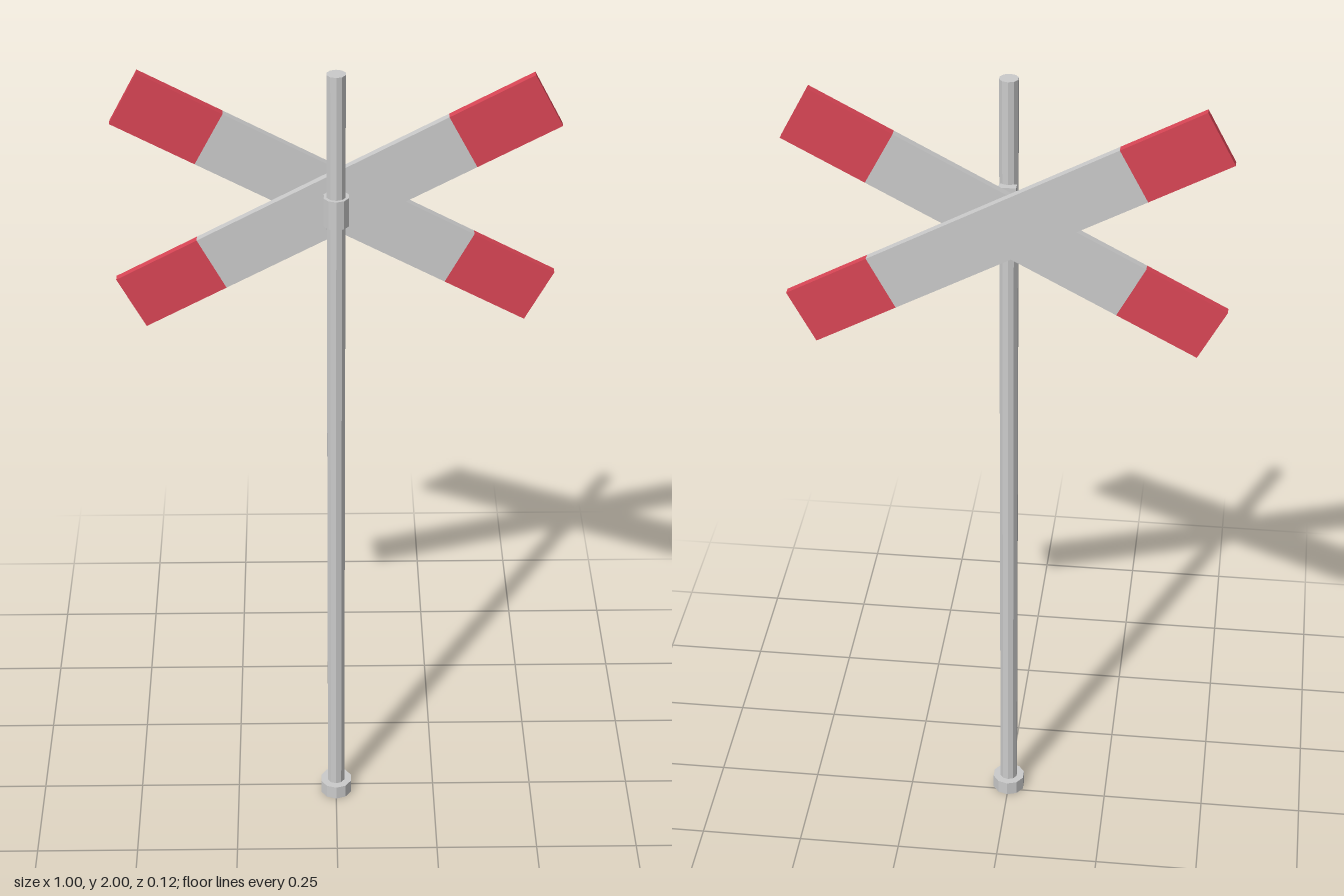
import * as THREE from 'three';

const SIDES = 10;
const POLE_Z = 0.019;
const CROSS_Y = 1.667;

export function createModel() {
  const model = new THREE.Group();
  model.name = 'crossingSign';
  const grey = new THREE.MeshStandardMaterial({ color: 0xcccccc, flatShading: true });
  const red = new THREE.MeshStandardMaterial({ color: 0xdb4656, flatShading: true });

  const add = (parent, name, geometry, material, x, y, z) => {
    const mesh = new THREE.Mesh(geometry, material);
    mesh.name = name;
    mesh.position.set(x, y, z);
    parent.add(mesh);
    return mesh;
  };
  const post = (name, radius, bottom, top) =>
    add(model, name, new THREE.CylinderGeometry(radius, radius, top - bottom, SIDES),
      grey, 0, (bottom + top) / 2, POLE_Z);

  // Pole with its foot and the collar that holds the cross
  post('foot', 0.04, 0, 0.036);
  post('pole', 0.022, 0.036, 2);
  post('collar', 0.03, 1.635, 1.705);

  // Mounting plate between collar and boards
  add(model, 'bracket', new THREE.BoxGeometry(0.04, 0.17, 0.02), grey, 0, CROSS_Y, -0.0075);

  // Crossed boards: grey middle with red ends
  const half = 0.531, middle = 0.32, width = 0.138, depth = 0.019;
  const board = (name, angle, z) => {
    const group = new THREE.Group();
    group.name = name;
    group.position.set(0, CROSS_Y, z);
    group.rotation.z = angle;
    add(group, 'boardMiddle', new THREE.BoxGeometry(middle * 2, width, depth), grey, 0, 0, 0);
    for (const side of [-1, 1]) {
      add(group, side > 0 ? 'leftRedEnd' : 'rightRedEnd',
        new THREE.BoxGeometry(half - middle, width, depth), red, side * (half + middle) / 2, 0, 0);
    }
    model.add(group);
  };
  const tilt = THREE.MathUtils.degToRad(28.1);
  board('frontBoard', tilt, -0.0272);
  board('backBoard', -tilt, -0.0497);

  return model;
}
